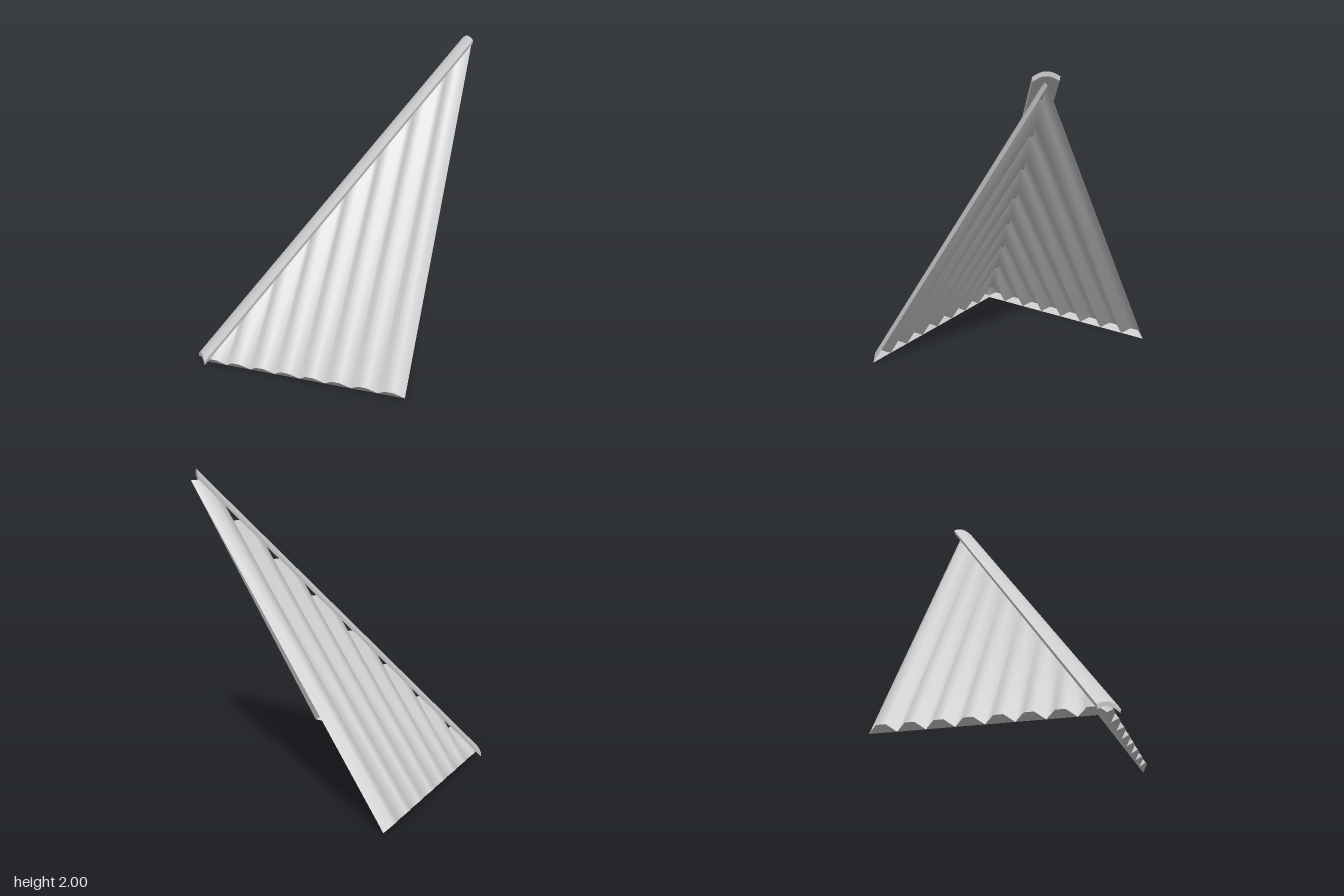
import * as THREE from 'three';
import { toCreasedNormals } from 'three/addons/utils/BufferGeometryUtils.js';

const PITCH = 1.47;     // rise over run of each slope
const EDGE = 0.68;      // outer side of the sheet
const PERIOD = 0.167;   // spacing of the corrugations
const VALLEY = 0.635;   // eave depth of a valley
const CREST = 0.035;    // how far a crest stands out

const material = new THREE.MeshStandardMaterial({ color: 0xcccccc, side: THREE.DoubleSide });

// Surface between two rows of points, lower row first, running towards +x
function strip(lower, upper) {
  const n = lower.length;
  const index = [];
  for (let i = 0; i < n - 1; i++) index.push(i, i + 1, n + i + 1, i, n + i + 1, n + i);
  const geometry = new THREE.BufferGeometry().setFromPoints([...lower, ...upper]);
  geometry.setIndex(index);
  geometry.computeVertexNormals();
  return geometry;
}

function mesh(geometry, name) {
  const m = new THREE.Mesh(geometry, material);
  m.name = name;
  return m;
}

// Eave outline: valley, crest, crest for each corrugation, ending at the hip corner
function eaveLine() {
  const points = [];
  const add = (x, h) => points.unshift(new THREE.Vector3(x, h * 1.05, VALLEY + h));
  for (let k = 0; k < 8; k++) {
    const x = EDGE - k * PERIOD;
    add(x, 0);
    add(x - PERIOD / 3, CREST);
    add(x - PERIOD * 2 / 3, CREST);
  }
  add(-0.643, 0.008);
  return points;
}

// One triangular corrugated slope, mitred along the plane z = -x
function createSlope(name) {
  const eave = eaveLine();
  const hip = eave.map(p => new THREE.Vector3(p.x, p.y + PITCH * Math.max(0, p.z + p.x), -p.x));
  const base = eave.map(p => new THREE.Vector3(p.x, 0, VALLEY));
  const slope = new THREE.Group();
  slope.name = name;
  slope.add(mesh(strip(eave, hip), 'corrugatedSheet'));
  slope.add(mesh(strip(base, eave), 'eaveFiller'));
  return slope;
}

// Curved capping with a vertical cut at both ends
function createHipCap() {
  const shape = new THREE.Shape();
  shape.moveTo(-0.074, -0.027);
  shape.quadraticCurveTo(0, 0.027, 0.074, -0.027);
  shape.lineTo(0.07, -0.052);
  shape.quadraticCurveTo(0, 0.002, -0.07, -0.052);
  shape.closePath();
  const geometry = new THREE.ExtrudeGeometry(shape, { depth: 1, bevelEnabled: false, curveSegments: 8 });
  // Run the section down the hip from the peak
  const d = Math.SQRT1_2;
  const run = new THREE.Matrix4().makeBasis(
    new THREE.Vector3(d, 0, d),
    new THREE.Vector3(0, 1, 0),
    new THREE.Vector3(-1.312, -1.94, 1.312)
  ).setPosition(0.656, 2, -0.656);
  geometry.applyMatrix4(run);
  return mesh(toCreasedNormals(geometry, 0.6), 'hipCap');
}

export function createModel() {
  const model = new THREE.Group();
  model.name = 'hipRoofCorner';
  model.add(createSlope('frontSlope'));

  // Mirror of the front slope across the hip
  const side = createSlope('rightSlope');
  side.scale.x = -1;
  side.rotation.y = -Math.PI / 2;
  model.add(side);

  model.add(createHipCap());
  return model;
}
